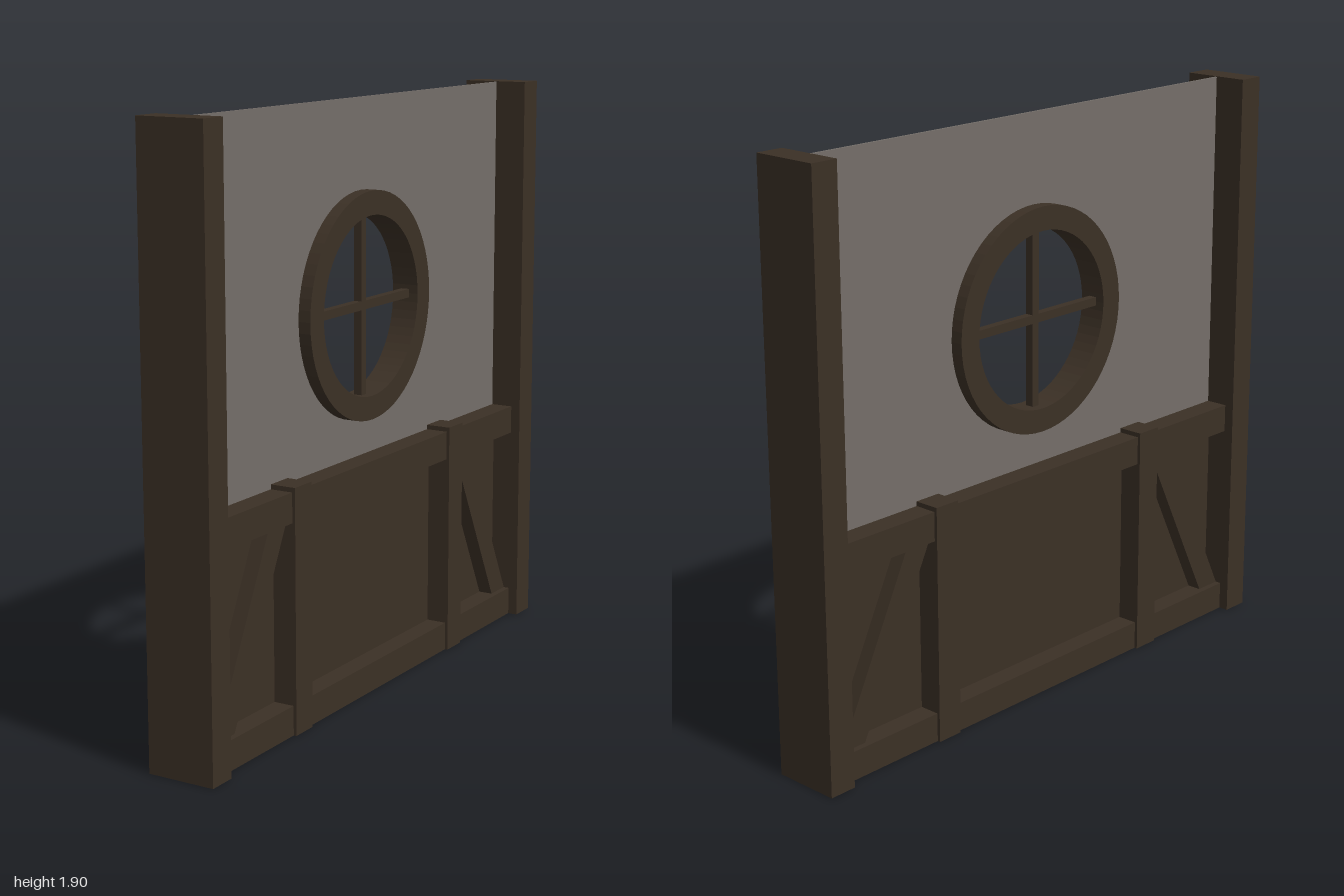
import * as THREE from 'three';

const CENTER_Y = 1.25; // round window centre

export function createModel() {
  const group = new THREE.Group();
  const wood = new THREE.MeshStandardMaterial({ color: 0x3b3025 });
  wood.name = 'dark wood';
  const plaster = new THREE.MeshStandardMaterial({ color: 0x746e69 });
  plaster.name = 'grey plaster';

  const add = (name, geometry, material = wood) => {
    const mesh = new THREE.Mesh(geometry, material);
    mesh.name = name;
    group.add(mesh);
    return mesh;
  };
  // Box centred on x, given by its half depth and its y and z ranges
  const beam = (name, halfX, y0, y1, z0, z1) =>
    add(name, new THREE.BoxGeometry(halfX * 2, y1 - y0, z1 - z0))
      .position.set(0, (y0 + y1) / 2, (z0 + z1) / 2);
  // Outline drawn in (z, y), extruded along x
  const slab = (name, shape, halfX, material) => {
    const geometry = new THREE.ExtrudeGeometry(shape, {
      depth: halfX * 2, bevelEnabled: false, curveSegments: 32,
    });
    geometry.translate(0, 0, -halfX);
    geometry.rotateY(-Math.PI / 2);
    return add(name, geometry, material);
  };

  // Plaster wall with a round opening
  const wall = new THREE.Shape([[-0.95, 0.002], [0.95, 0.002], [0.95, 1.903], [-0.95, 1.903]]
    .map(([z, y]) => new THREE.Vector2(z, y)));
  wall.holes.push(new THREE.Path().absarc(0, CENTER_Y, 0.295, 0, Math.PI * 2, true));
  slab('plasterWall', wall, 0.004, plaster);

  // Wainscot panel and rails
  beam('lowerPanel', 0.011, 0.05, 0.72, -0.93, 0.93);
  beam('bottomRail', 0.08, 0, 0.095, -0.93, 0.93);
  beam('topRail', 0.08, 0.67, 0.765, -0.93, 0.93);

  // Posts, studs and diagonal braces, mirrored along z
  for (const s of [1, -1]) {
    beam('cornerPost', 0.113, 0, 1.905, s > 0 ? 0.907 : -1, s > 0 ? 1 : -0.907);
    beam('stud', 0.09, 0, 0.78, s > 0 ? 0.432 : -0.524, s > 0 ? 0.524 : -0.432);
    const brace = new THREE.Shape([[0.91, 0.09], [0.815, 0.09], [0.525, 0.675], [0.62, 0.675]]
      .map(([z, y]) => new THREE.Vector2(z * s, y)));
    slab('brace', brace, 0.06);
  }

  // Round window frame
  const ring = new THREE.Shape().absarc(0, CENTER_Y, 0.365, 0, Math.PI * 2, false);
  ring.holes.push(new THREE.Path().absarc(0, CENTER_Y, 0.288, 0, Math.PI * 2, true));
  slab('windowFrame', ring, 0.046);

  // Window cross bars
  beam('verticalBar', 0.014, CENTER_Y - 0.3, CENTER_Y + 0.3, -0.014, 0.014);
  beam('horizontalBar', 0.014, CENTER_Y - 0.014, CENTER_Y + 0.014, -0.3, 0.3);

  return group;
}
